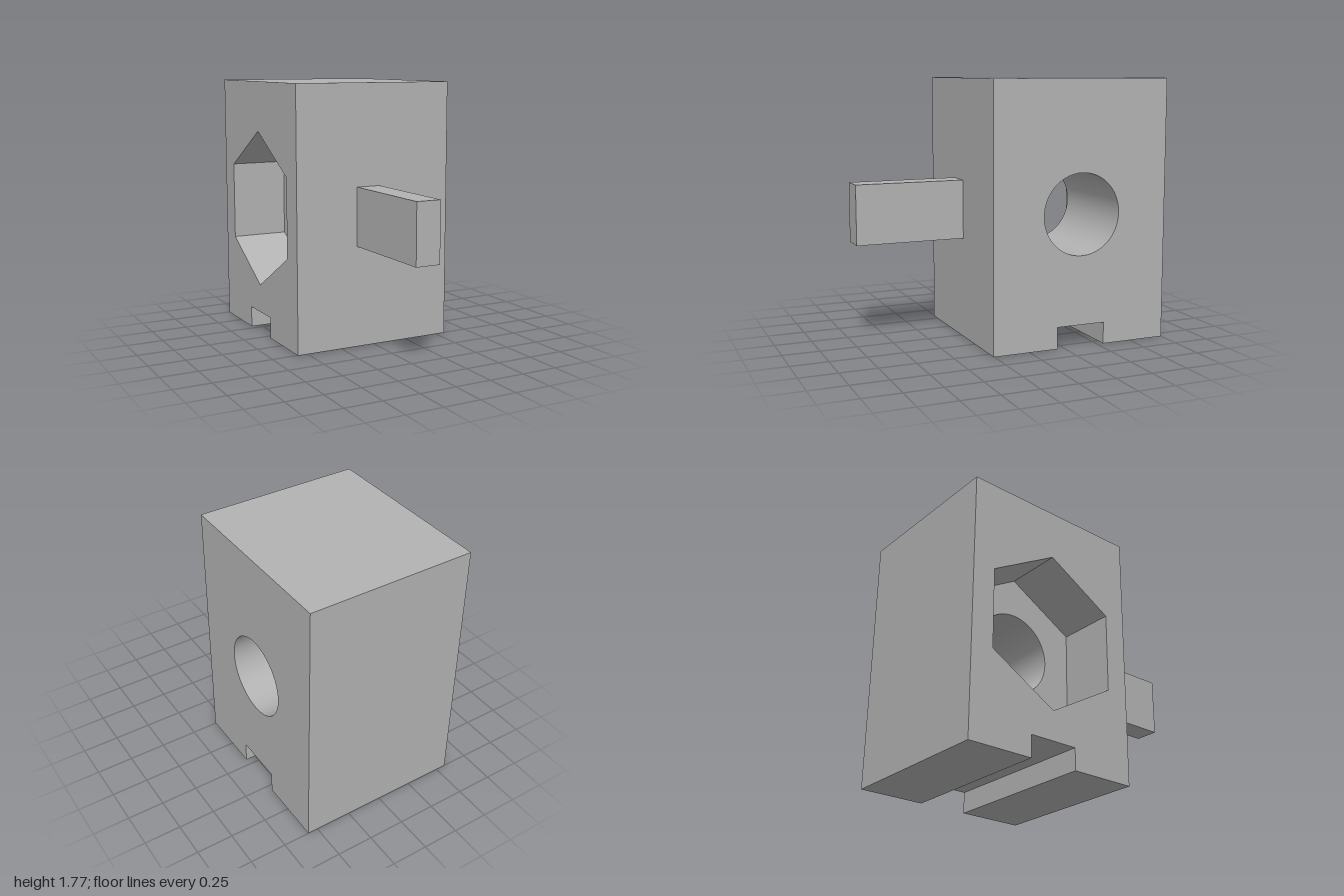
import * as THREE from 'three';
import { toCreasedNormals } from 'three/addons/utils/BufferGeometryUtils.js';

const HALF_WIDTH = 0.57, HEIGHT = 1.772, FRONT = 0.256, BACK = -1;
const HOLE_U = 0.372, HOLE_Y = 0.888; // shared axis of bore and hexagonal pocket (u = -z)
const POCKET_END = -0.17;

// Side outline of the block, with the slot cut in its underside
function sideOutline() {
  const slot = 0.172, slotHeight = 0.147;
  return new THREE.Shape([
    [-FRONT, 0], [HOLE_U - slot, 0], [HOLE_U - slot, slotHeight],
    [HOLE_U + slot, slotHeight], [HOLE_U + slot, 0], [-BACK, 0],
    [-BACK, HEIGHT], [-FRONT, HEIGHT],
  ].map(([u, y]) => new THREE.Vector2(u, y)));
}

// Extrudes the outline with a hole along x, between two x positions
function slab(name, hole, x0, x1, material) {
  const shape = sideOutline();
  shape.holes.push(hole);
  const extruded = new THREE.ExtrudeGeometry(shape, { depth: x1 - x0, bevelEnabled: false, curveSegments: 64 });
  extruded.rotateY(Math.PI / 2).translate(x0, 0, 0);
  const mesh = new THREE.Mesh(toCreasedNormals(extruded, 0.5), material);
  mesh.name = name;
  return mesh;
}

export function createModel() {
  const model = new THREE.Group();
  model.name = 'slottedBlock';
  const grey = new THREE.MeshStandardMaterial({ color: 0xb2b2b2 });
  grey.name = 'grey';

  // Hexagonal pocket with a corner at the top
  const hexagon = new THREE.Path(Array.from({ length: 6 }, (_, i) => {
    const a = Math.PI / 2 - i * Math.PI / 3;
    return new THREE.Vector2(HOLE_U + 0.543 * Math.cos(a), HOLE_Y + 0.543 * Math.sin(a));
  }));
  hexagon.closePath();

  // Round bore opening into the pocket
  const bore = new THREE.Path();
  bore.absarc(HOLE_U, HOLE_Y, 0.274, 0, Math.PI * 2, true);

  model.add(slab('pocketSide', hexagon, -HALF_WIDTH, POCKET_END, grey));
  model.add(slab('boreSide', bore, POCKET_END, HALF_WIDTH, grey));

  // Flat bar standing out of the front
  const bar = new THREE.Mesh(new THREE.BoxGeometry(0.17, 0.4, 1 - FRONT), grey);
  bar.position.set(-0.045, HOLE_Y, (1 + FRONT) / 2);
  bar.name = 'frontBar';
  model.add(bar);

  return model;
}
